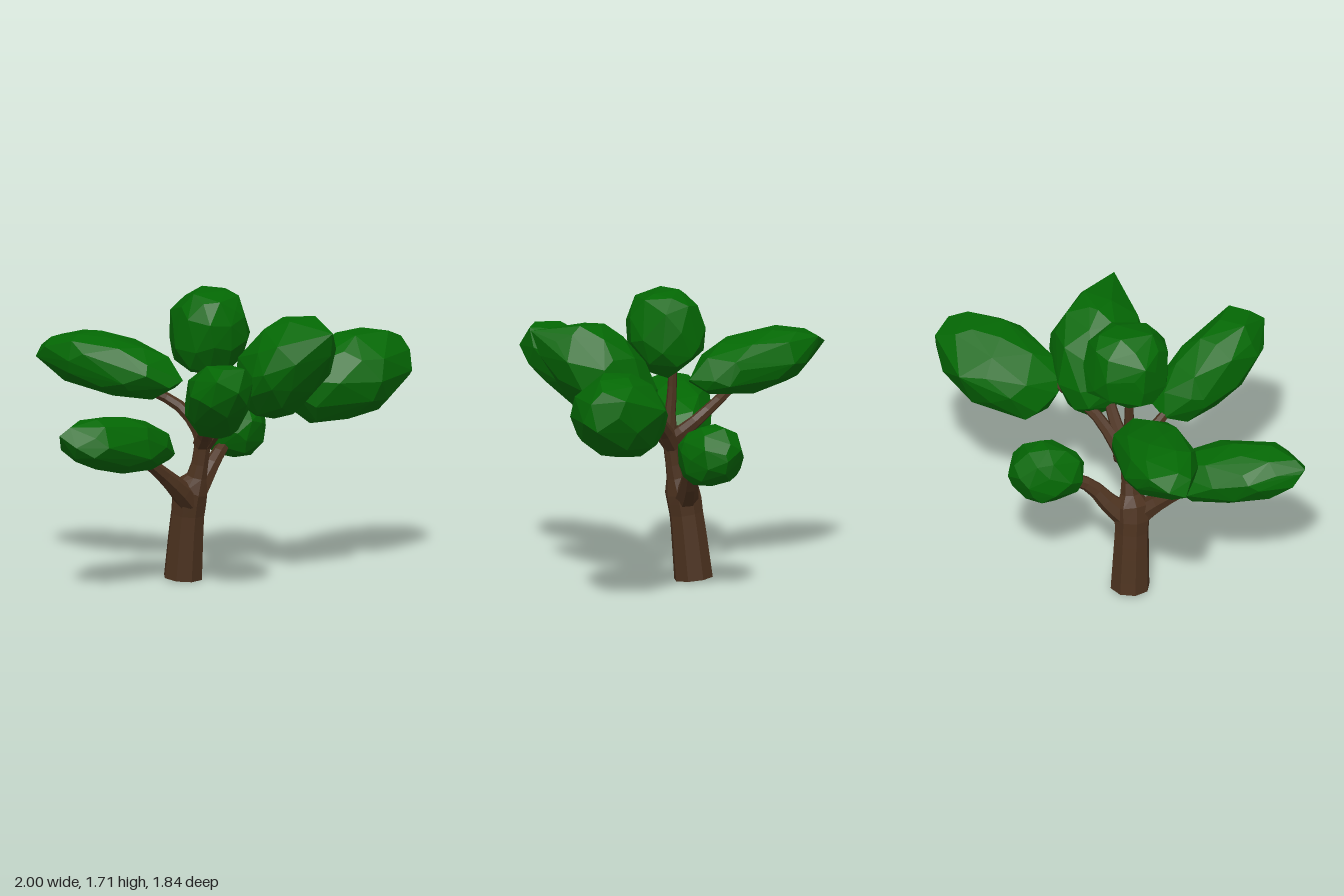
import * as THREE from 'three';
import { ConvexGeometry } from 'three/addons/geometries/ConvexGeometry.js';

const leafGreen = new THREE.MeshStandardMaterial({ color: 0x046804 });
const barkBrown = new THREE.MeshStandardMaterial({ color: 0x4c321f });
leafGreen.name = 'leafGreen';
barkBrown.name = 'barkBrown';

function seeded(seed) {
  let s = seed * 7919 + 17;
  return () => (s = (s * 16807) % 2147483647) / 2147483647;
}

// Tapered, faceted limb; stations are [x, y, z, radius], first end closed
function limb(name, stations, sides = 7) {
  const curve = new THREE.CatmullRomCurve3(stations.map(([x, y, z]) => new THREE.Vector3(x, y, z)));
  const rings = (stations.length - 1) * 2 + 1;
  const tube = new THREE.TubeGeometry(curve, rings, 1, sides);
  const pos = tube.attributes.position;
  const v = new THREE.Vector3();
  for (let i = 0; i <= rings; i++) {
    const t = Math.max(0, (i - 1) / (rings - 1));
    const k = curve.getUtoTmapping(t) * (stations.length - 1);
    const a = Math.min(Math.floor(k), stations.length - 2);
    const r = i === 0 ? 0 : THREE.MathUtils.lerp(stations[a][3], stations[a + 1][3], k - a);
    const from = curve.getPointAt(i / rings);
    const to = curve.getPointAt(t);
    for (let j = 0; j <= sides; j++) {
      const n = i * (sides + 1) + j;
      v.fromBufferAttribute(pos, n).sub(from).multiplyScalar(r).add(to);
      pos.setXYZ(n, v.x, v.y, v.z);
    }
  }
  const geo = tube.toNonIndexed();
  geo.computeVertexNormals();
  const mesh = new THREE.Mesh(geo, barkBrown);
  mesh.name = name;
  return mesh;
}

// Faceted leaf clump: a blunt ellipsoid of half-sizes [width, height, length]
// pointing along dir, fitted to the box min..max, with optional corner tips
function clump({ name, dir, size, min, max, seed, tips = [] }) {
  const rand = seeded(seed);
  const turn = new THREE.Matrix4().lookAt(
    new THREE.Vector3(...dir), new THREE.Vector3(), new THREE.Vector3(0, 1, 0));
  const count = 42;
  const points = [];
  for (let i = 0; i < count; i++) {
    const y = 1 - (2 * (i + 0.5)) / count;
    const a = i * 2.39996 + rand() * 0.6;
    const r = Math.sqrt(1 - y * y);
    const p = new THREE.Vector3(r * Math.cos(a), y + (rand() - 0.5) * 0.12, r * Math.sin(a));
    const norm = Math.pow(Math.abs(p.x) ** 2.2 + Math.abs(p.y) ** 2.2 + Math.abs(p.z) ** 2.2, 1 / 2.2);
    p.multiplyScalar((0.93 + rand() * 0.1) / norm);
    points.push(p.multiply(new THREE.Vector3(...size)).applyMatrix4(turn));
  }
  const box = new THREE.Box3().setFromPoints(points);
  const lo = new THREE.Vector3(...min);
  const scale = new THREE.Vector3(...max).sub(lo).divide(box.getSize(new THREE.Vector3()));
  points.forEach((p) => p.sub(box.min).multiply(scale).add(lo));
  tips.forEach((t) => points.push(new THREE.Vector3(...t)));
  const mesh = new THREE.Mesh(new ConvexGeometry(points), leafGreen);
  mesh.name = name;
  return mesh;
}

export function createModel() {
  const tree = new THREE.Group();
  tree.name = 'tree';

  // Trunk and branches
  const wood = new THREE.Group();
  wood.name = 'wood';
  wood.add(
    limb('trunk', [[-0.14, 0.01, -0.03, 0.115], [-0.105, 0.38, -0.01, 0.1], [-0.08, 0.53, 0, 0.108],
      [-0.045, 0.61, 0, 0.06], [-0.025, 0.7, 0, 0.048], [-0.01, 0.81, 0, 0.05], [0, 0.91, 0, 0.05]], 8),
    limb('topBranch', [[0, 0.82, 0, 0.055], [0, 0.95, 0, 0.035], [-0.015, 1.1, 0, 0.028], [-0.02, 1.3, 0, 0.024]]),
    limb('frontLowBranch', [[-0.085, 0.47, 0.03, 0.075], [-0.12, 0.55, 0.11, 0.06],
      [-0.19, 0.66, 0.22, 0.043], [-0.28, 0.79, 0.37, 0.035]]),
    limb('backLowBranch', [[-0.085, 0.47, -0.03, 0.075], [-0.055, 0.555, -0.12, 0.06],
      [-0.01, 0.68, -0.23, 0.042], [0.01, 0.77, -0.4, 0.035]]),
    limb('frontHighBranch', [[-0.01, 0.81, 0.01, 0.055], [0.035, 0.88, 0.08, 0.042],
      [0.1, 0.98, 0.22, 0.03], [0.18, 1.08, 0.35, 0.025]]),
    limb('leftHighBranch', [[-0.01, 0.8, 0, 0.055], [0.07, 0.91, -0.02, 0.045],
      [0.16, 1.0, -0.04, 0.036], [0.32, 1.14, -0.05, 0.028]]),
    limb('backHighBranch', [[-0.01, 0.8, -0.01, 0.055], [0.07, 0.9, -0.06, 0.042],
      [0.2, 1.02, -0.14, 0.034], [0.43, 1.13, -0.32, 0.028]]),
    limb('rightHighBranch', [[0, 0.82, 0, 0.055], [-0.08, 0.9, -0.07, 0.04],
      [-0.2, 1.0, -0.1, 0.034], [-0.42, 1.12, -0.03, 0.026]]),
  );
  tree.add(wood);

  // Leaf clumps
  const leaves = new THREE.Group();
  leaves.name = 'leaves';
  [
    { name: 'topClump', dir: [0.1, 1, 0.05], size: [0.24, 0.24, 0.25],
      min: [-0.2, 1.21, -0.25], max: [0.26, 1.71, 0.25], seed: 3,
      tips: [[-0.19, 1.58, 0.05], [-0.19, 1.33, 0.02], [0.25, 1.56, 0.02]] },
    { name: 'rightClump', dir: [-0.83, 0.13, 0], size: [0.21, 0.15, 0.44],
      min: [-0.98, 1.05, -0.22], max: [-0.17, 1.41, 0.21], seed: 5,
      tips: [[-1, 1.31, -0.04], [-1, 1.26, 0.06], [-0.13, 1.16, 0]] },
    { name: 'frontRightClump', dir: [-0.32, 0.14, 0.7], size: [0.2, 0.17, 0.42],
      min: [-0.59, 0.69, 0.12], max: [-0.1, 1.05, 0.92], seed: 8,
      tips: [[-0.58, 0.93, 0.55], [-0.57, 0.97, 0.89]] },
    { name: 'frontLeftClump', dir: [0.28, 0.3, 0.65], size: [0.19, 0.19, 0.42],
      min: [0.04, 0.91, 0.18], max: [0.51, 1.41, 0.92], seed: 11,
      tips: [[0.52, 1.3, 0.66], [0.5, 1.4, 0.74]] },
    { name: 'leftClump', dir: [0.5, 0.38, 0.1], size: [0.28, 0.24, 0.38],
      min: [0.17, 0.95, -0.32], max: [0.76, 1.57, 0.24], seed: 14,
      tips: [[0.83, 1.52, 0.15], [0.8, 1.38, 0.1], [0.46, 1.56, -0.05]] },
    { name: 'backLeftClump', dir: [0.48, 0.17, -0.5], size: [0.28, 0.22, 0.42],
      min: [0.33, 0.87, -0.92], max: [1, 1.39, -0.25], seed: 17,
      tips: [[0.52, 1.2, -0.86], [0.99, 1.17, -0.72], [0.4, 1.15, -0.29]] },
    { name: 'backClump', dir: [0, 0.1, -1], size: [0.18, 0.17, 0.22],
      min: [-0.16, 0.64, -0.71], max: [0.19, 1, -0.26], seed: 20 },
  ].forEach((spec) => leaves.add(clump(spec)));
  tree.add(leaves);
  return tree;
}
